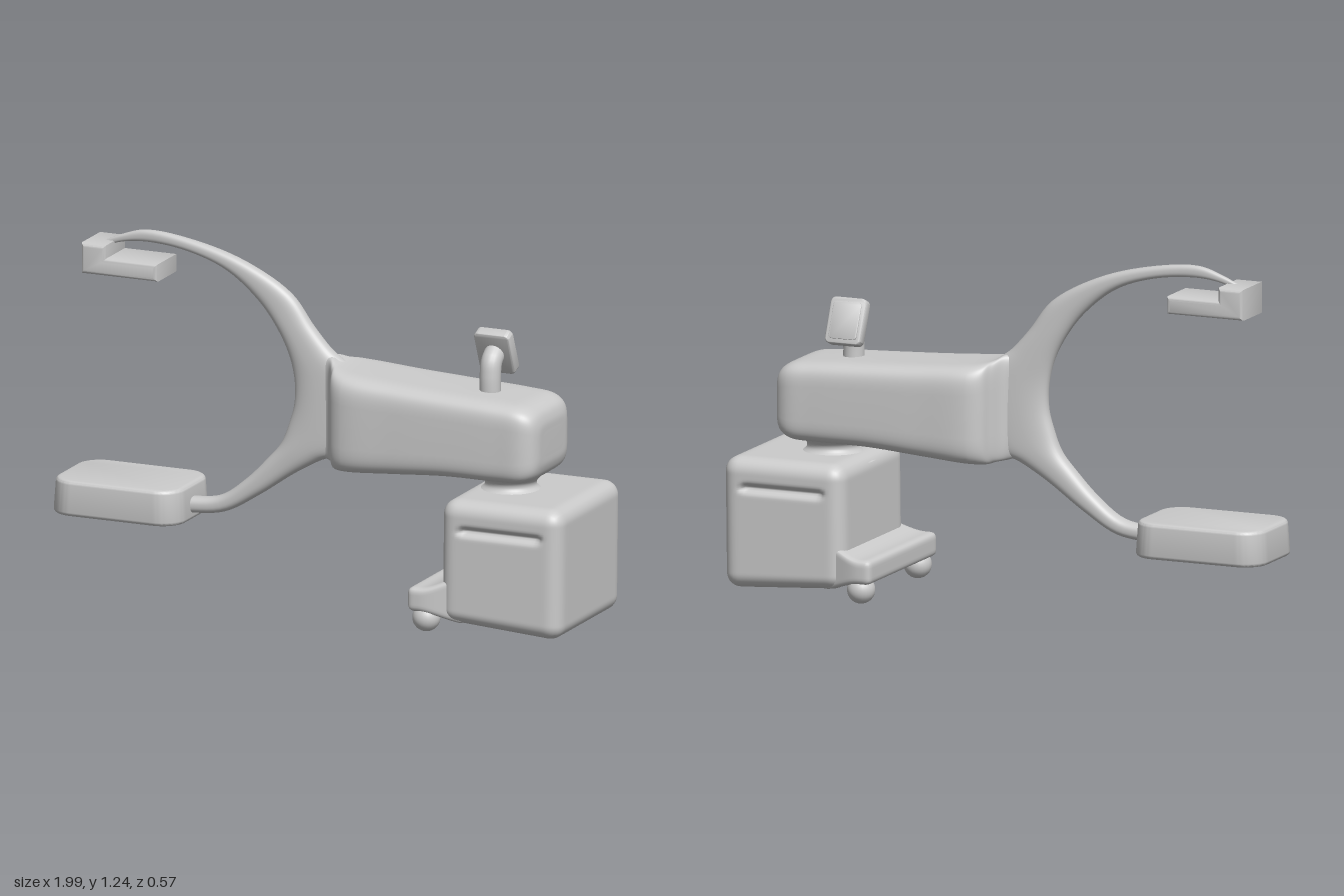
import * as THREE from 'three';
import { mergeVertices, toCreasedNormals } from 'three/addons/utils/BufferGeometryUtils.js';

const material = new THREE.MeshStandardMaterial({ color: 0xcccccc, roughness: 0.7 });

function add(group, name, geometry, x = 0, y = 0, z = 0) {
  const mesh = new THREE.Mesh(geometry, material);
  mesh.name = name;
  mesh.position.set(x, y, z);
  group.add(mesh);
  return mesh;
}

// Smooth skin over rows of [outer x, outer y, inner x, inner y, half depth];
// power 2 gives an oval section, higher powers a rounded box.
function loft(rows, power, steps, sides = 40) {
  const outer = new THREE.CatmullRomCurve3(rows.map(r => new THREE.Vector3(r[0], r[1], r[4])));
  const inner = new THREE.CatmullRomCurve3(rows.map(r => new THREE.Vector3(r[2], r[3], r[4])));
  const round = v => Math.sign(v) * Math.pow(Math.abs(v), 2 / power);
  const pos = [], index = [];
  for (let i = 0; i <= steps; i++) {
    const o = outer.getPoint(i / steps), n = inner.getPoint(i / steps);
    for (let j = 0; j < sides; j++) {
      const a = j / sides * Math.PI * 2, c = round(Math.cos(a)), s = round(Math.sin(a));
      pos.push((o.x + n.x) / 2 + (o.x - n.x) / 2 * c, (o.y + n.y) / 2 + (o.y - n.y) / 2 * c, o.z * s);
      if (i < steps) {
        const p = i * sides + j, q = i * sides + (j + 1) % sides;
        index.push(p, q, p + sides, q, q + sides, p + sides);
      }
    }
  }
  // end caps
  for (const end of [0, steps]) {
    const o = outer.getPoint(end / steps), n = inner.getPoint(end / steps), centre = pos.length / 3;
    pos.push((o.x + n.x) / 2, (o.y + n.y) / 2, 0);
    for (let j = 0; j < sides; j++) {
      const p = end * sides + j, q = end * sides + (j + 1) % sides;
      index.push(...(end ? [p, q, centre] : [q, p, centre]));
    }
  }
  const g = new THREE.BufferGeometry();
  g.setAttribute('position', new THREE.Float32BufferAttribute(pos, 3));
  g.setIndex(index);
  g.computeVertexNormals();
  return g;
}

// Subdivided box with rounded edges and an optional rule that moves its vertices.
function softBox(w, h, d, r, segments, warp) {
  let g = new THREE.BoxGeometry(w, h, d, ...segments);
  g.deleteAttribute('uv');
  g.deleteAttribute('normal');
  g = mergeVertices(g);
  const pos = g.attributes.position, p = new THREE.Vector3(), q = new THREE.Vector3();
  const core = new THREE.Vector3(w / 2 - r, h / 2 - r, d / 2 - r), low = core.clone().negate();
  for (let i = 0; i < pos.count; i++) {
    p.fromBufferAttribute(pos, i);
    q.copy(p).clamp(low, core);
    p.sub(q).setLength(r).add(q);
    if (warp) warp(p);
    pos.setXYZ(i, p.x, p.y, p.z);
  }
  g.computeVertexNormals();
  return g;
}

// Bevelled slab centred on its depth
function slab(shape, depth, bevel) {
  const g = new THREE.ExtrudeGeometry(shape, {
    depth: depth - 2 * bevel, bevelThickness: bevel, bevelSize: bevel, bevelOffset: -bevel,
    bevelSegments: 4, curveSegments: 10,
  });
  g.translate(0, 0, bevel - depth / 2);
  return toCreasedNormals(g, 0.6);
}

function roundedRect(w, h, r) {
  const s = new THREE.Shape(), x = w / 2 - r, y = h / 2 - r;
  s.absarc(x, y, r, 0, Math.PI / 2);
  s.absarc(-x, y, r, Math.PI / 2, Math.PI);
  s.absarc(-x, -y, r, Math.PI, Math.PI * 1.5);
  s.absarc(x, -y, r, Math.PI * 1.5, Math.PI * 2);
  return s;
}

export function createModel() {
  const model = new THREE.Group();
  model.name = 'imagingMachine';

  // C-shaped arm, from the upper tip round to the lower tip
  add(model, 'curvedArm', loft([
    [-0.87, 1.18, -0.865, 1.165, 0.006],
    [-0.78, 1.22, -0.77, 1.195, 0.012],
    [-0.69, 1.245, -0.67, 1.203, 0.016],
    [-0.5, 1.225, -0.52, 1.185, 0.022],
    [-0.31, 1.17, -0.38, 1.135, 0.027],
    [-0.14, 1.075, -0.26, 1.04, 0.032],
    [-0.056, 0.968, -0.19, 0.95, 0.036],
    [0.01, 0.895, -0.145, 0.86, 0.039],
    [0.1, 0.82, -0.125, 0.77, 0.042],
    [0.12, 0.68, -0.126, 0.69, 0.044],
    [0.08, 0.54, -0.145, 0.62, 0.044],
    [-0.02, 0.5, -0.175, 0.545, 0.042],
    [-0.126, 0.44, -0.23, 0.48, 0.038],
    [-0.26, 0.348, -0.31, 0.4, 0.035],
    [-0.39, 0.275, -0.41, 0.33, 0.034],
    [-0.55, 0.255, -0.55, 0.312, 0.034],
  ], 2.4, 90));

  // Main body, flaring out of the arm
  add(model, 'mainBody', loft([
    [-0.03, 0.86, -0.03, 0.52, 0.03],
    [0.02, 0.875, 0.02, 0.505, 0.05],
    [0.05, 0.862, 0.05, 0.5, 0.1],
    [0.07, 0.855, 0.07, 0.495, 0.14],
    [0.12, 0.847, 0.12, 0.495, 0.167],
    [0.3, 0.833, 0.3, 0.508, 0.173],
    [0.5, 0.822, 0.5, 0.523, 0.175],
    [0.7, 0.812, 0.7, 0.525, 0.175],
    [0.79, 0.802, 0.79, 0.53, 0.172],
    [0.83, 0.78, 0.83, 0.55, 0.152],
    [0.847, 0.745, 0.847, 0.585, 0.12],
    [0.85, 0.7, 0.85, 0.63, 0.07],
  ], 5.5, 66, 64));

  // Waisted neck between body and cabinet
  const neckProfile = [[0.15, 0.45], [0.11, 0.475], [0.092, 0.49], [0.09, 0.505], [0.1, 0.52], [0.13, 0.55]];
  add(model, 'neck', new THREE.LatheGeometry(
    new THREE.SplineCurve(neckProfile.map(p => new THREE.Vector2(...p))).getPoints(16), 40), 0.69, 0, 0);

  // Wheeled cabinet with a pressed slot in its front and back
  add(model, 'cabinet', softBox(0.455, 0.465, 0.535, 0.055, [32, 70, 32], p => {
    const along = THREE.MathUtils.smoothstep(0.165 - Math.abs(p.x), 0, 0.03);
    const groove = Math.exp(-(((p.y - 0.128) / 0.013) ** 2)) * along;
    if (Math.abs(p.z) > 0.2) p.z -= Math.sign(p.z) * 0.025 * groove;
    if (p.y < 0) p.y += 0.03 * (0.5 - p.x / 0.455) * (-p.y / 0.23);
    p.x += 0.012 * p.y;
  }), 0.762, 0.247, -0.005);

  // Foot rail with flared ends, sloping up to the cabinet
  add(model, 'footRail', softBox(0.2, 0.085, 0.57, 0.02, [20, 10, 40], p => {
    const t = THREE.MathUtils.smoothstep(p.x, -0.06, 0.1);
    p.y += 0.045 * t * (p.y > 0 ? 1 : -0.8);
    p.z *= 1 - 0.13 * t;
  }), 0.522, 0.118, -0.003);

  for (const side of [1, -1]) {
    add(model, side > 0 ? 'frontCaster' : 'backCaster',
      new THREE.SphereGeometry(0.049, 24, 16), 0.477, 0.05, side * 0.235);
  }

  // Lower flat pad, slightly wider at the bottom
  const pad = slab(roundedRect(0.495, 0.34, 0.09), 0.125, 0.014);
  const padPos = pad.attributes.position;
  for (let i = 0; i < padPos.count; i++) {
    const k = 1 - 0.035 * (padPos.getZ(i) / 0.125 + 0.5);
    padPos.setXY(i, padPos.getX(i) * k, padPos.getY(i) * k);
  }
  pad.rotateX(-Math.PI / 2);
  add(model, 'lowerPad', pad, -0.752, 0.298, -0.01);

  // Upper L-shaped head
  const head = new THREE.Shape();
  [[-0.9, 1.085], [-0.612, 1.085], [-0.612, 1.147], [-0.806, 1.147], [-0.806, 1.194], [-0.9, 1.194]]
    .forEach(([x, y], i) => (i ? head.lineTo(x, y) : head.moveTo(x, y)));
  add(model, 'upperHead', slab(head, 0.175, 0.014), 0, 0, -0.005);

  // Screen on a bent post, facing the back
  const postPath = new THREE.CatmullRomCurve3(
    [[0, 0.77, 0], [0, 0.87, 0], [0, 0.915, -0.01], [0, 0.945, -0.045]].map(p => new THREE.Vector3(...p)));
  add(model, 'screenPost', new THREE.TubeGeometry(postPath, 20, 0.037, 20), 0.612, 0, 0);
  const screen = new THREE.Group();
  screen.name = 'screen';
  screen.position.set(0.612, 0.945, -0.052);
  screen.rotation.x = 0.4;
  add(screen, 'screenCase', slab(roundedRect(0.135, 0.165, 0.02), 0.042, 0.007));
  add(screen, 'screenPanel', slab(roundedRect(0.105, 0.132, 0.012), 0.006, 0.002), 0, 0, -0.022);
  model.add(screen);

  return model;
}
